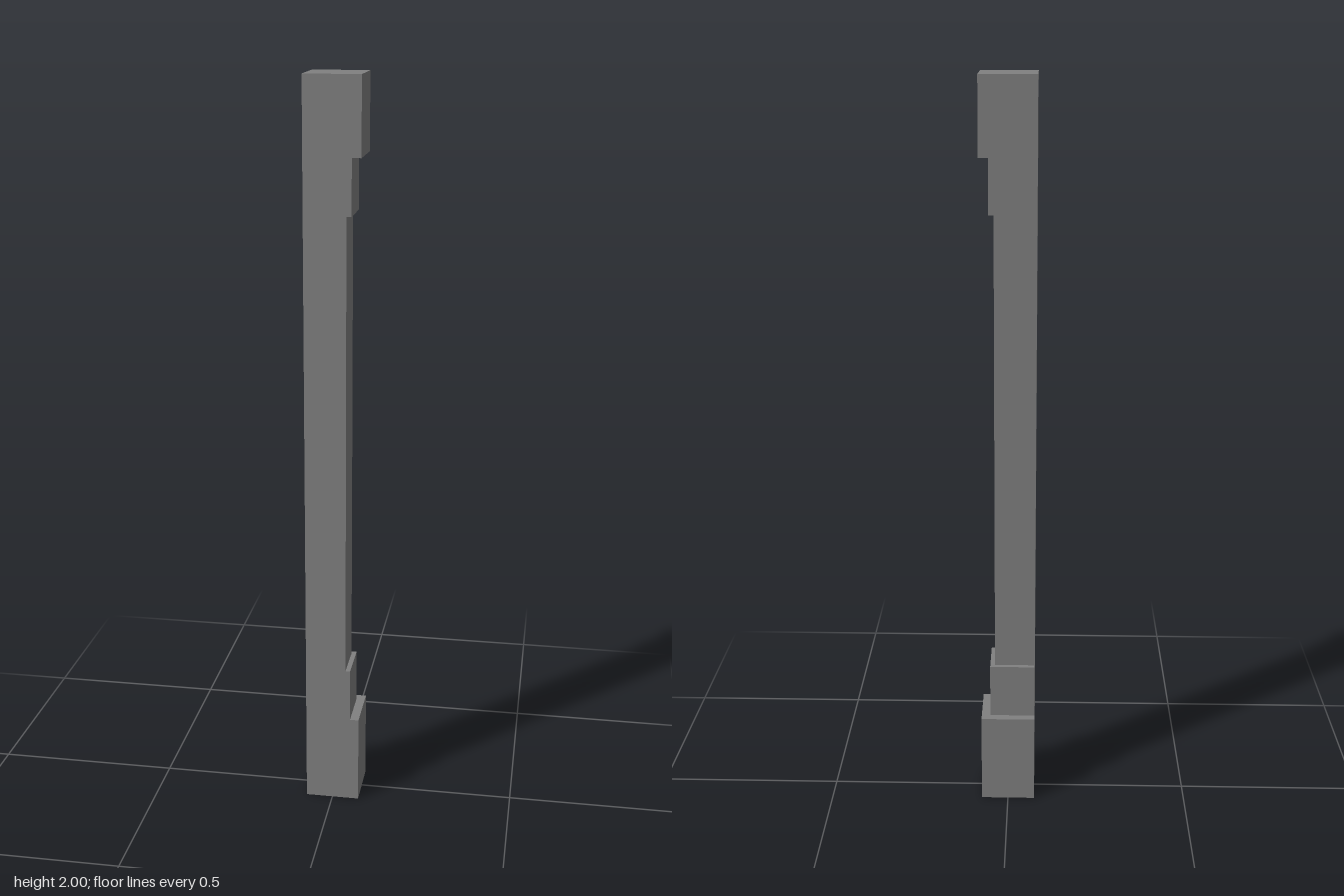
import * as THREE from 'three';

const A = 0.074; // flush front and right faces, half width of the blocks

// Square ring: two sides stay flush, the +x and -z sides move with s
function ring(y, s) {
  return [[-A, y, A], [s, y, A], [s, y, -s], [-A, y, -s]];
}

// Skin between successive rings [y, s], outward facing and flat shaded
function skin(name, rings, material, capped = false) {
  const pos = [];
  const quad = (a, b, c, d) => pos.push(...a, ...b, ...c, ...a, ...c, ...d);
  const loops = rings.map(([y, s]) => ring(y, s));
  for (let k = 0; k < loops.length - 1; k++) {
    const isLedge = rings[k][0] === rings[k + 1][0];
    for (let i = 0; i < 4; i++) {
      if (isLedge && (i === 0 || i === 3)) continue; // flush sides have no ledge
      const j = (i + 1) % 4;
      quad(loops[k][i], loops[k][j], loops[k + 1][j], loops[k + 1][i]);
    }
  }
  if (capped) quad(...loops[loops.length - 1]);
  const geo = new THREE.BufferGeometry();
  geo.setAttribute('position', new THREE.Float32BufferAttribute(pos, 3));
  geo.computeVertexNormals();
  const mesh = new THREE.Mesh(geo, material);
  mesh.name = name;
  return mesh;
}

export function createModel() {
  const model = new THREE.Group();
  model.name = 'cornerPost';
  const mat = new THREE.MeshStandardMaterial({
    color: 0x808080, flatShading: true, side: THREE.DoubleSide,
  });
  const collar = 0.05, shaft = 0.037;

  model.add(
    // Hollow base block, open underneath, with its ledge
    skin('baseBlock', [[0, A], [0.25, A], [0.25, collar]], mat),
    skin('lowerCollar', [[0.25, collar], [0.4, collar], [0.4, shaft]], mat),
    skin('shaft', [[0.4, shaft], [1.655, shaft]], mat),
    // Upper parts step outwards again
    skin('upperCollar', [[1.655, shaft], [1.655, collar], [1.8, collar]], mat),
    skin('capBlock', [[1.8, collar], [1.8, A], [2, A]], mat, true),
  );
  return model;
}
